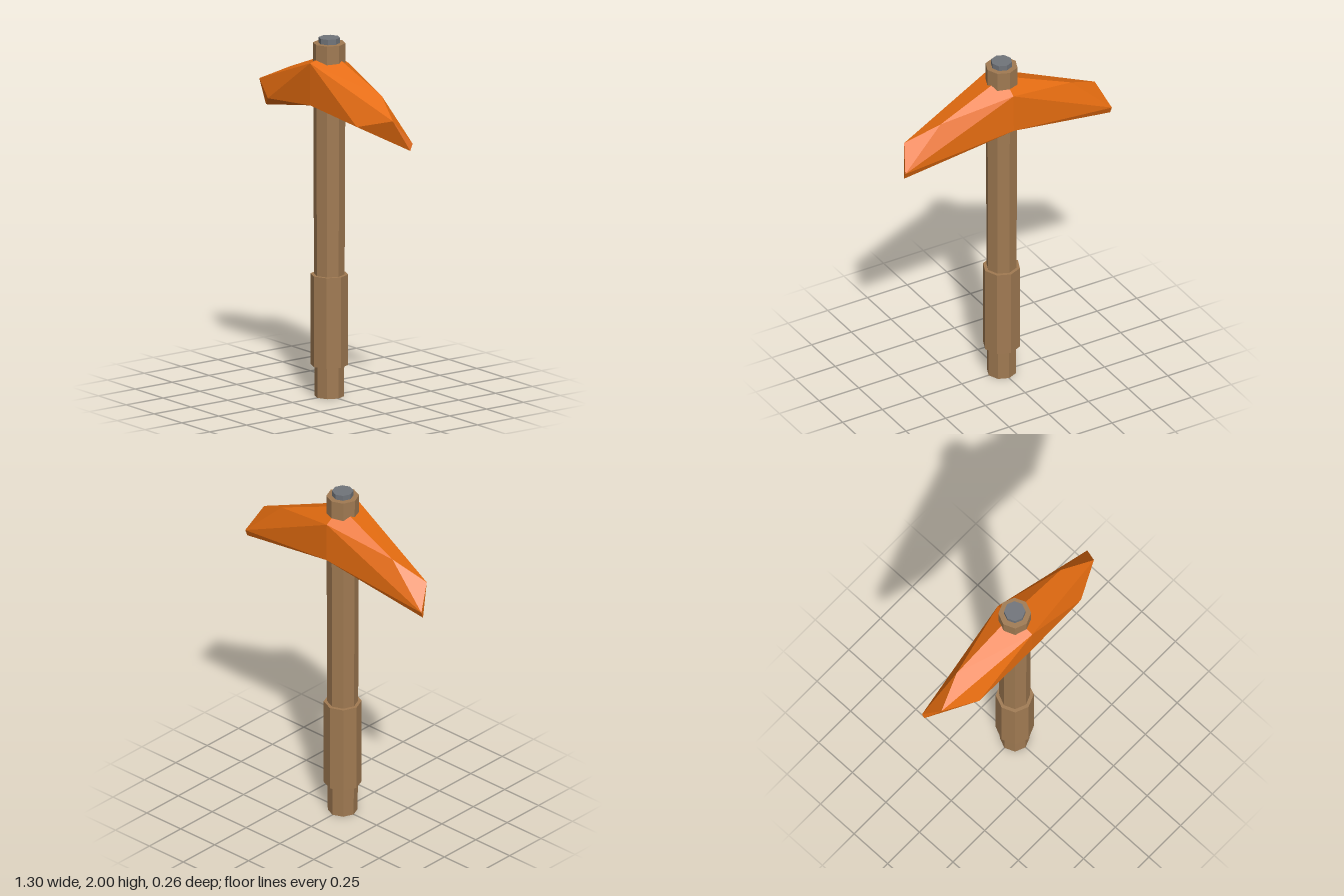
import * as THREE from 'three';
import { ConvexGeometry } from 'three/addons/geometries/ConvexGeometry.js';

const material = (name, color) => {
  const m = new THREE.MeshStandardMaterial({ color, flatShading: true });
  m.name = name;
  return m;
};

export function createModel() {
  const wood = material('brown wood', 0xa07a52);
  const orange = material('orange metal', 0xe56c10);
  const steel = material('grey steel', 0x70747a);
  const group = new THREE.Group();
  group.name = 'pickaxe';

  const add = (name, geometry, mat) => {
    const mesh = new THREE.Mesh(geometry, mat);
    mesh.name = name;
    group.add(mesh);
  };

  // Octagonal post between two heights
  const post = (name, rBottom, rTop, y0, y1, mat) => {
    const g = new THREE.CylinderGeometry(rTop, rBottom, y1 - y0, 8);
    g.translate(0, (y0 + y1) / 2, 0);
    add(name, g, mat);
  };

  // Tapered handle, thicker grip and the pin at the top
  post('handle', 0.081, 0.089, 0, 1.97, wood);
  post('grip', 0.103, 0.103, 0.175, 0.68, wood);
  post('topPin', 0.058, 0.058, 1.9, 2, steel);

  // Corners of one head blade, from the middle out to the tip
  const blade = [
    [0, 1.91, -0.02], [0, 1.875, 0.13], [0, 1.64, 0.13],
    [0, 1.62, -0.13], [0, 1.84, -0.127],
    [0.41, 1.75, -0.045], [0.4, 1.597, 0.115],
    [0.6, 1.655, 0.022], [0.65, 1.525, -0.075], [0.648, 1.487, -0.06],
  ];
  for (const [name, side] of [['leftBlade', 1], ['rightBlade', -1]]) {
    const points = blade.map(([x, y, z]) => new THREE.Vector3(side * x, y, z));
    add(name, new ConvexGeometry(points), orange);
  }
  return group;
}
